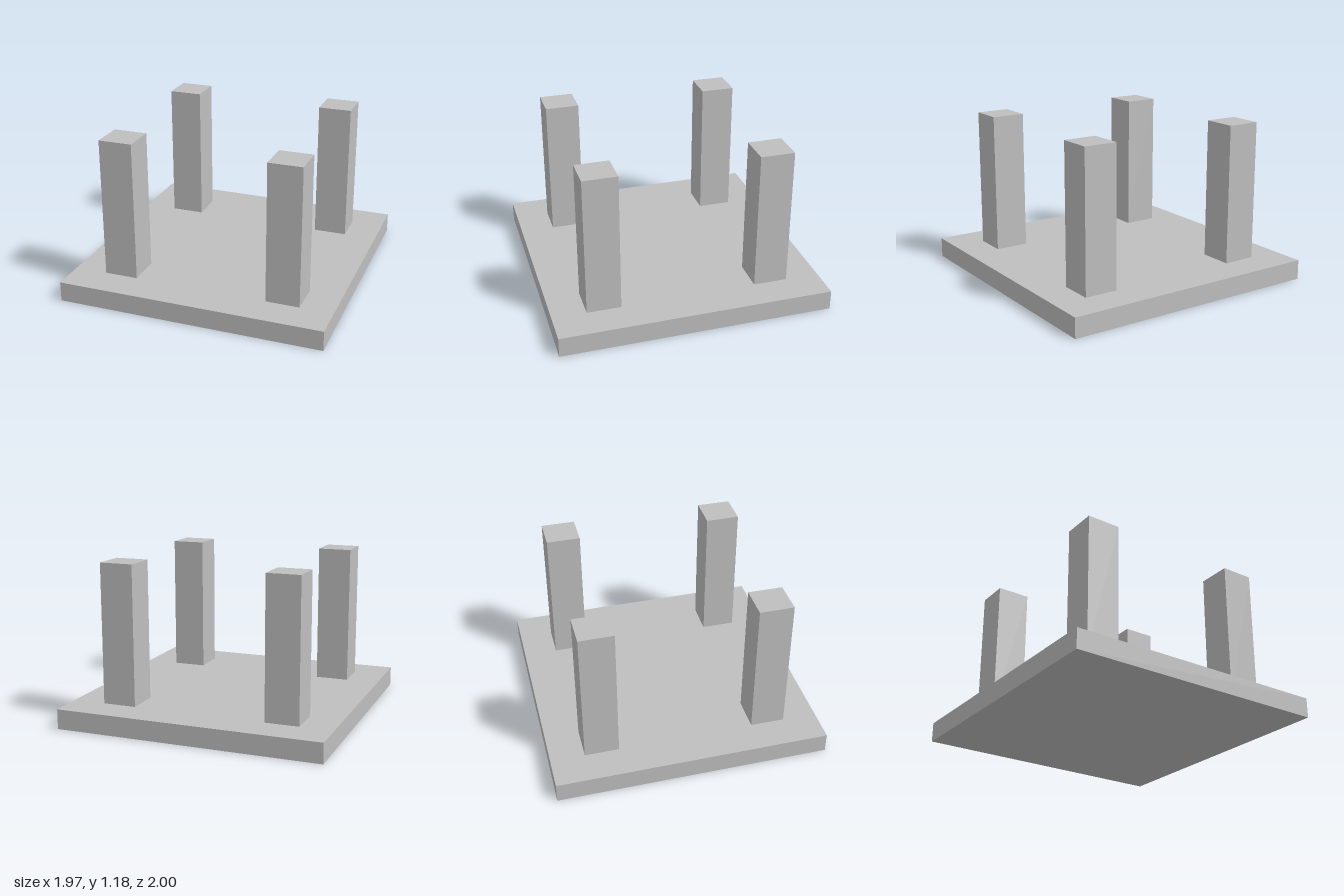
import * as THREE from 'three';

export function createModel() {
  const model = new THREE.Group();
  const grey = new THREE.MeshStandardMaterial({ color: 0xbfbfbf });
  grey.name = 'plainGrey';

  const addBlock = (name, w, h, d, x, bottom, z) => {
    const mesh = new THREE.Mesh(new THREE.BoxGeometry(w, h, d), grey);
    mesh.name = name;
    mesh.position.set(x, bottom + h / 2, z);
    model.add(mesh);
  };

  // Slab lying on the ground
  const slabHeight = 0.147;
  addBlock('slab', 1.967, slabHeight, 2, 0, 0, 0);

  // Four square posts standing near the corners
  for (const [side, x] of [['Left', 0.617], ['Right', -0.617]]) {
    for (const [end, z] of [['front', 0.625], ['back', -0.625]]) {
      addBlock(`${end}${side}Post`, 0.248, 1.032, 0.25, x, slabHeight, z);
    }
  }
  return model;
}
